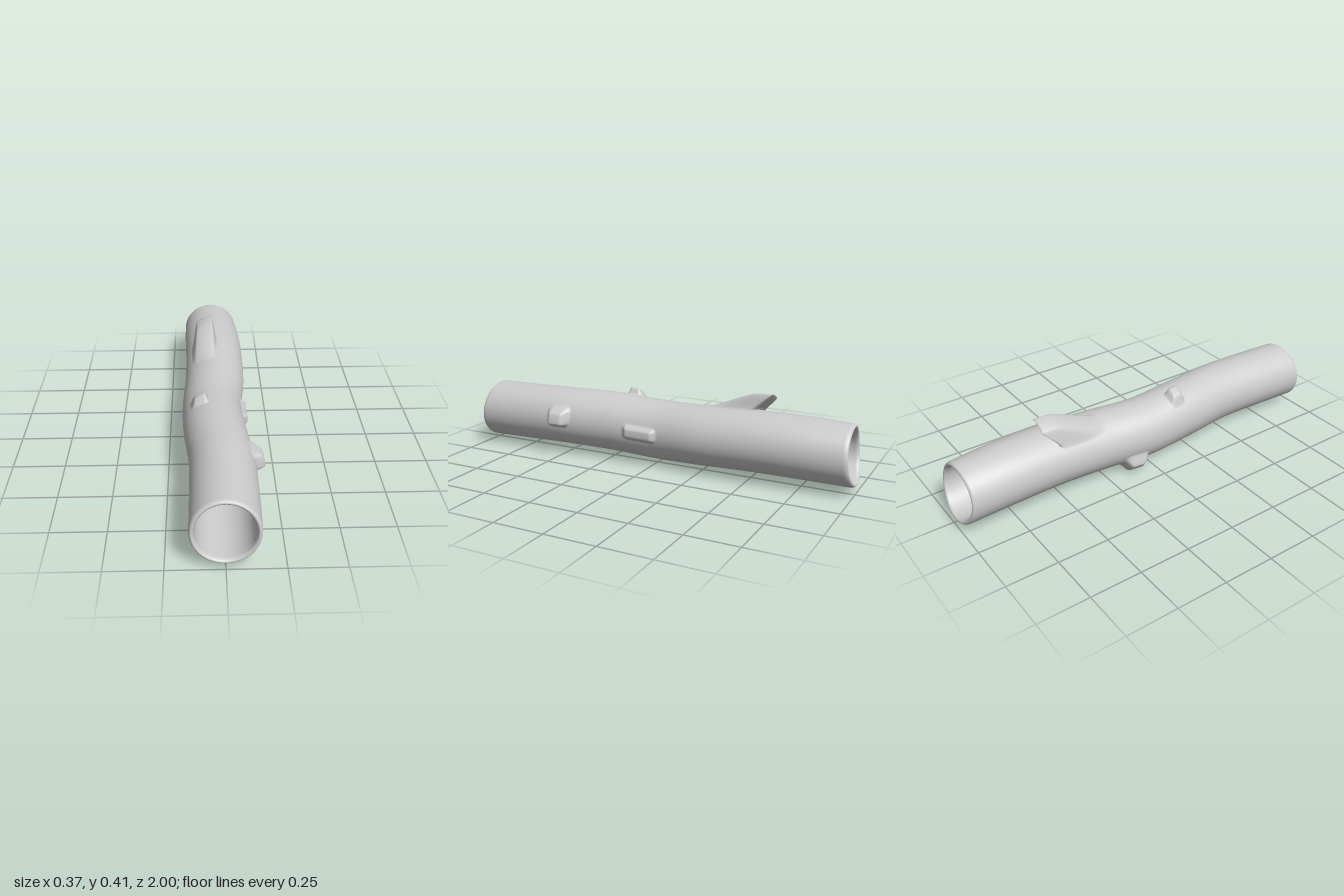
import * as THREE from 'three';

// Outline of the log at nine even stations from back to front: left, right, bottom, top
const STATIONS = [
  [-0.178, 0.112, 0.025, 0.313],
  [-0.176, 0.132, 0.03, 0.325],
  [-0.17, 0.138, 0.03, 0.325],
  [-0.172, 0.133, 0.02, 0.315],
  [-0.184, 0.11, 0.01, 0.31],
  [-0.175, 0.122, 0.022, 0.323],
  [-0.15, 0.147, 0.03, 0.325],
  [-0.148, 0.15, 0.025, 0.32],
  [-0.15, 0.147, 0.018, 0.315],
];

// Stubs pulled out of the bark: position, flat half sizes, blend widths and pull direction
const STUBS = [
  // long broken branch leaning to the back
  { z: -0.435, angle: 1.97, halfZ: 0.035, halfArc: 0.042, front: 0.15, back: 0.035, side: 0.03, pull: [0.005, 0.085, -0.11] },
  // side knots
  { z: 0.5, angle: 0.22, halfZ: 0.03, halfArc: 0.025, front: 0.035, back: 0.035, side: 0.035, pull: [0.042, -0.008, 0] },
  { z: 0.05, angle: 0.03, halfZ: 0.065, halfArc: 0.018, front: 0.03, back: 0.03, side: 0.022, pull: [0.022, 0, 0] },
  // top knot
  { z: 0.165, angle: 2.06, halfZ: 0.018, halfArc: 0.026, front: 0.03, back: 0.025, side: 0.025, pull: [0.002, 0.037, 0.005] },
  // lower knot
  { z: -0.1, angle: 3.95, halfZ: 0.03, halfArc: 0.035, front: 0.04, back: 0.04, side: 0.03, pull: [-0.025, -0.034, 0] },
];

const RADIUS = 0.148;
const WALL = 0.022;
const RIM = 0.02;
const SIDES = 160;

function stubWeight(stub, z, angle) {
  const dz = z - stub.z;
  const turn = Math.atan2(Math.sin(angle - stub.angle), Math.cos(angle - stub.angle));
  const ez = Math.max(0, Math.abs(dz) - stub.halfZ) / (dz > 0 ? stub.front : stub.back);
  const ea = Math.max(0, Math.abs(turn) * RADIUS - stub.halfArc) / stub.side;
  return 1 - THREE.MathUtils.smoothstep(Math.hypot(ez, ea), 0, 1);
}

// Uneven saw cuts at the two ends
function cutOffset(z, a) {
  const cut = z > 0
    ? 0.004 - 0.014 * Math.sin(a) + 0.003 * Math.cos(2 * a)
    : 0.002 + 0.015 * Math.sin(a) - 0.008 * Math.cos(a) + 0.006 * Math.cos(2 * a);
  return cut * Math.pow(Math.abs(z), 8);
}

// Closed wall profile: outer bark, front rim, inner wall, back rim
function wallProfile() {
  const rows = [];
  const end = 0.984;
  const straight = end - RIM;
  for (let i = 0; i <= 300; i++) rows.push({ z: -straight + (2 * straight * i) / 300, inset: 0, outer: true });
  const rim = (dir) => {
    for (let i = 1; i < 10; i++) {
      const a = (Math.PI * i) / 10;
      rows.push({ z: dir * (straight + RIM * Math.sin(a)), inset: (WALL / 2) * (1 - dir * Math.cos(a)) });
    }
  };
  rim(1);
  for (let i = 0; i <= 40; i++) rows.push({ z: straight - (2 * straight * i) / 40, inset: WALL });
  rim(-1);
  return rows;
}

function logGeometry() {
  const spline = (fn) => new THREE.CatmullRomCurve3(STATIONS.map(fn), false, 'catmullrom', 0.5);
  const centres = spline(([l, r, b, t]) => new THREE.Vector3((l + r) / 2, (b + t) / 2, 0));
  const radii = spline(([l, r, b, t]) => new THREE.Vector3((r - l) / 2, (t - b) / 2, 0));
  const rows = wallProfile();
  const positions = [];
  const index = [];

  rows.forEach(({ z, inset, outer }, i) => {
    const t = THREE.MathUtils.clamp((z + 1) / 2, 0, 1);
    const c = centres.getPoint(t);
    const r = radii.getPoint(t);
    const next = (i + 1) % rows.length;
    for (let j = 0; j < SIDES; j++) {
      const a = (j / SIDES) * Math.PI * 2;
      const p = [
        c.x + (r.x - inset) * Math.cos(a),
        c.y + (r.y - inset) * Math.sin(a),
        z + cutOffset(z, a),
      ];
      if (outer) {
        for (const stub of STUBS) {
          const w = stubWeight(stub, z, a);
          for (let k = 0; k < 3; k++) p[k] += stub.pull[k] * w;
        }
      }
      positions.push(...p);

      const k = (j + 1) % SIDES;
      const v00 = i * SIDES + j, v01 = i * SIDES + k;
      const v10 = next * SIDES + j, v11 = next * SIDES + k;
      index.push(v00, v01, v10, v01, v11, v10);
    }
  });

  const geometry = new THREE.BufferGeometry();
  geometry.setAttribute('position', new THREE.Float32BufferAttribute(positions, 3));
  geometry.setIndex(index);
  geometry.computeVertexNormals();
  return geometry;
}

export function createModel() {
  const group = new THREE.Group();
  group.name = 'hollowLog';
  const log = new THREE.Mesh(logGeometry(), new THREE.MeshStandardMaterial({ color: 0xcccccc }));
  log.name = 'logWithStubs';
  group.add(log);
  return group;
}
